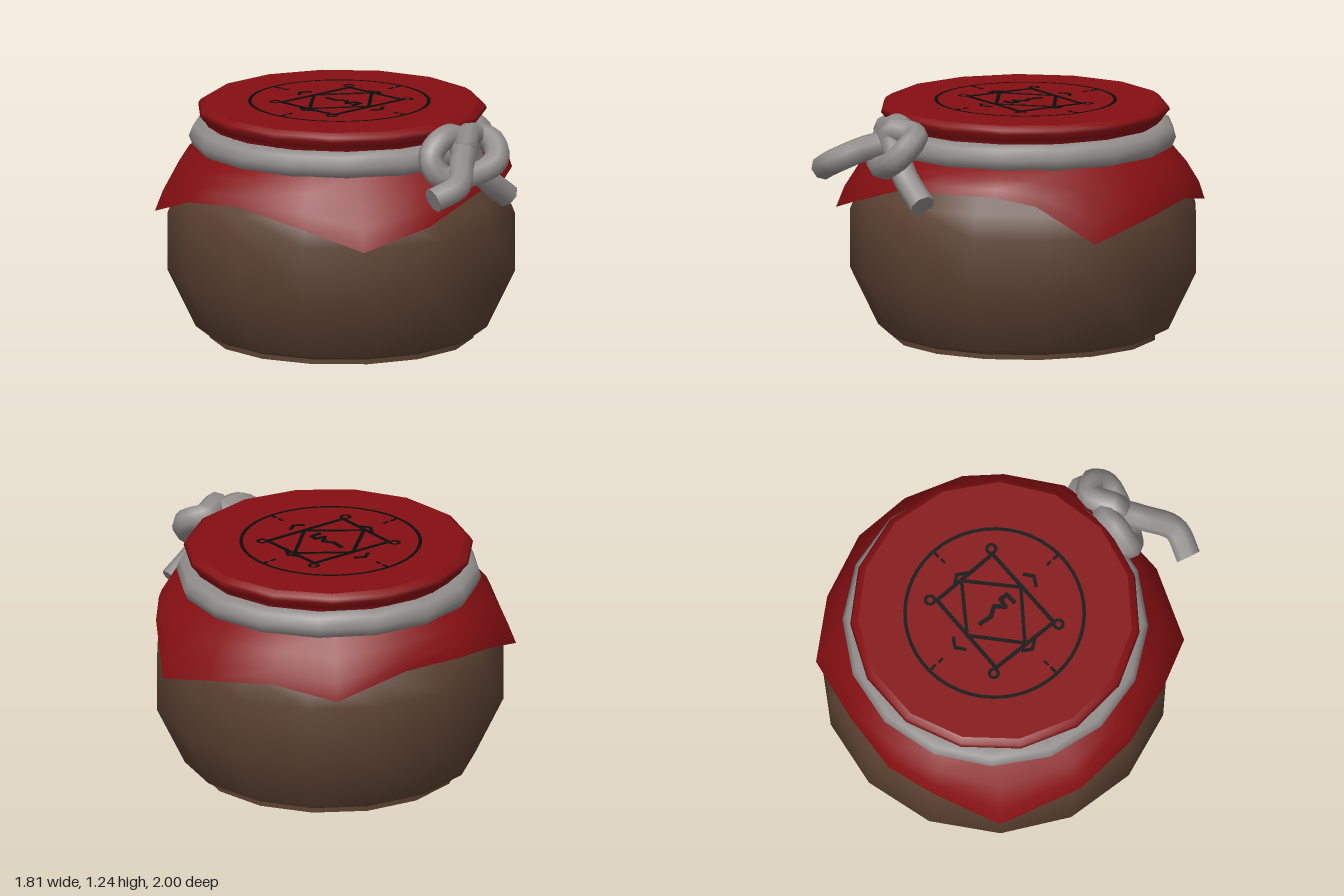
import * as THREE from 'three';

const CX = -0.02, CZ = -0.105, SIDES = 15, TOP = 1.225;

export function createModel() {
  const group = new THREE.Group();
  const mat = (name, color, side = THREE.FrontSide) => {
    const m = new THREE.MeshStandardMaterial({ color, side });
    m.name = name;
    return m;
  };
  const clay = mat('brown clay', 0x5c4232);
  const cloth = mat('red cloth', 0x850f12, THREE.DoubleSide);
  const cord = mat('grey rope', 0x928e8c);
  const ink = mat('black ink', 0x0c0c0c);

  const add = (name, geo, material, x = 0, y = 0, z = 0, parent = group) => {
    const m = new THREE.Mesh(geo, material);
    m.name = name;
    m.position.set(x, y, z);
    parent.add(m);
    return m;
  };
  const lathe = (pts, start) =>
    new THREE.LatheGeometry(pts.map(p => new THREE.Vector2(...p)), SIDES, start);

  // Jar: flat base, small foot and round belly
  add('jarBase', lathe([[0, 0], [0.68, 0]], Math.PI), clay, CX, 0, CZ);
  add('jarFoot', lathe([[0.68, 0], [0.68, 0.025]], Math.PI), clay, CX, 0, CZ);
  add('jarBody', lathe([[0.68, 0.025], [0.75, 0.06], [0.895, 0.36], [0.895, 0.66],
    [0.845, 0.78], [0.74, 0.95], [0.66, 1.05]], Math.PI), clay, CX, 0, CZ);

  // Cloth stretched over the mouth
  const twist = Math.PI + 0.148;
  add('clothTop', lathe([[0.705, TOP], [0, TOP]], twist), cloth, CX, 0, CZ);
  add('clothRim', lathe([[0.7, 1.0], [0.69, 1.11], [0.715, 1.15], [0.745, 1.185],
    [0.735, 1.205], [0.705, TOP]], twist), cloth, CX, 0, CZ);

  // Cloth skirt: hem points [x, y, z] with four drooping corners
  const hem = [
    [0.9, 0.64, 0.13], [0.73, 0.84, 0.38], [0.58, 0.88, 0.53], [0.32, 0.885, 0.71],
    [0.08, 0.87, 0.76], [-0.3, 0.755, 0.77], [-0.65, 0.655, 0.63], [-0.79, 0.75, 0.35],
    [-0.91, 0.84, 0], [-0.91, 0.81, -0.35], [-0.73, 0.67, -0.75], [-0.4, 0.78, -0.91],
    [-0.15, 0.82, -0.985], [0.18, 0.82, -0.94], [0.55, 0.715, -0.83],
    [0.75, 0.78, -0.56], [0.89, 0.73, -0.2],
  ];
  const pos = [], idx = [], n = hem.length;
  for (const t of [0, 0.35, 0.7, 1]) {
    for (const [x, y, z] of hem) {
      const dx = x - CX, dz = z - CZ, r = Math.hypot(dx, dz);
      const bulge = 0.035 * Math.sin(Math.PI * t);
      const rr = THREE.MathUtils.lerp(0.73, r, t) + bulge;
      pos.push(CX + dx / r * rr, THREE.MathUtils.lerp(1.02, y, t), CZ + dz / r * rr);
    }
  }
  for (let k = 0; k < 3; k++) {
    for (let i = 0; i < n; i++) {
      const a = k * n + i, b = k * n + (i + 1) % n;
      idx.push(a, b, b + n, a, b + n, a + n);
    }
  }
  const skirt = new THREE.BufferGeometry();
  skirt.setAttribute('position', new THREE.Float32BufferAttribute(pos, 3));
  skirt.setIndex(idx);
  skirt.computeVertexNormals();
  add('clothSkirt', skirt, cloth);

  // Rope around the neck
  const ring = new THREE.TorusGeometry(0.71, 0.073, 8, SIDES + 1);
  ring.rotateX(Math.PI / 2);
  add('ropeRing', ring, cord, CX, 1.055, CZ);

  // Knotted rope with two loose tails
  const path = [
    [-0.41, 0.93, 0.89], [-0.27, 0.985, 0.93], [-0.14, 1.06, 0.84], [-0.03, 1.11, 0.75],
    [-0.01, 1.16, 0.68], [-0.1, 1.165, 0.67], [-0.19, 1.08, 0.67], [-0.16, 0.985, 0.72],
    [0, 0.985, 0.8], [0.13, 1.04, 0.83], [0.175, 1.12, 0.77], [0.12, 1.155, 0.7],
    [-0.02, 1.16, 0.76], [0.03, 1.05, 0.75], [0.12, 0.94, 0.76], [0.28, 0.82, 0.77],
  ].map(p => new THREE.Vector3(...p));
  const curve = new THREE.CatmullRomCurve3(path);
  const knot = new THREE.Group();
  knot.name = 'ropeKnot';
  group.add(knot);
  add('ropeStrand', new THREE.TubeGeometry(curve, 72, 0.066, 8), cord, 0, 0, 0, knot);
  for (const [t, s] of [[0, -1], [1, 1]]) {
    const cap = add('ropeEnd', new THREE.CircleGeometry(0.066, 8), cord, 0, 0, 0, knot);
    cap.position.copy(curve.getPointAt(t));
    cap.quaternion.setFromUnitVectors(new THREE.Vector3(0, 0, 1),
      curve.getTangentAt(t).multiplyScalar(s));
  }

  // Inked ornament on the cloth, as thin plates
  const mark = new THREE.Group();
  mark.name = 'lidOrnament';
  group.add(mark);
  const circle = (x, z, r, w, seg) => {
    const g = new THREE.RingGeometry(r - w, r, seg);
    g.rotateX(-Math.PI / 2);
    add('inkCircle', g, ink, x, TOP + 0.003, z, mark);
  };
  const stroke = (pts, w = 0.02, closed = false) => {
    const last = closed ? pts.length : pts.length - 1;
    for (let i = 0; i < last; i++) {
      const [x1, z1] = pts[i], [x2, z2] = pts[(i + 1) % pts.length];
      const g = new THREE.BoxGeometry(Math.hypot(x2 - x1, z2 - z1) + w * 0.5, 0.004, w);
      add('inkStroke', g, ink, (x1 + x2) / 2, TOP + 0.001, (z1 + z2) / 2, mark)
        .rotation.y = -Math.atan2(z2 - z1, x2 - x1);
    }
  };
  circle(-0.025, -0.115, 0.468, 0.018, 48);
  stroke([[-0.245, -0.315], [0.23, -0.28], [0.215, 0.1], [-0.27, 0.07]], 0.02, true);
  stroke([[-0.015, -0.3], [0.22, -0.115], [-0.015, 0.08], [-0.25, -0.115]], 0.018, true);
  for (const [x, z] of [[0.255, -0.305], [0.24, 0.115], [-0.295, 0.08], [-0.26, -0.345]]) {
    circle(x, z, 0.032, 0.017, 12);
  }
  // Small wave in the middle
  stroke([[-0.015, -0.21], [-0.025, -0.14], [0.005, -0.09], [-0.04, -0.05],
    [0.01, -0.04], [0.005, 0], [-0.05, 0]], 0.022);
  // Chevrons and dashes on the four sides
  for (let i = 0; i < 4; i++) {
    const c = Math.cos(i * Math.PI / 2), s = Math.sin(i * Math.PI / 2);
    const at = (u, v) => [-0.02 + u * c - v * s, -0.11 + u * s + v * c];
    stroke([at(0.25, -0.045), at(0.28, 0), at(0.25, 0.045)], 0.018);
    stroke([at(0.37, 0), at(0.395, 0)], 0.012);
    stroke([at(0.42, 0), at(0.45, 0)], 0.014);
  }
  return group;
}
